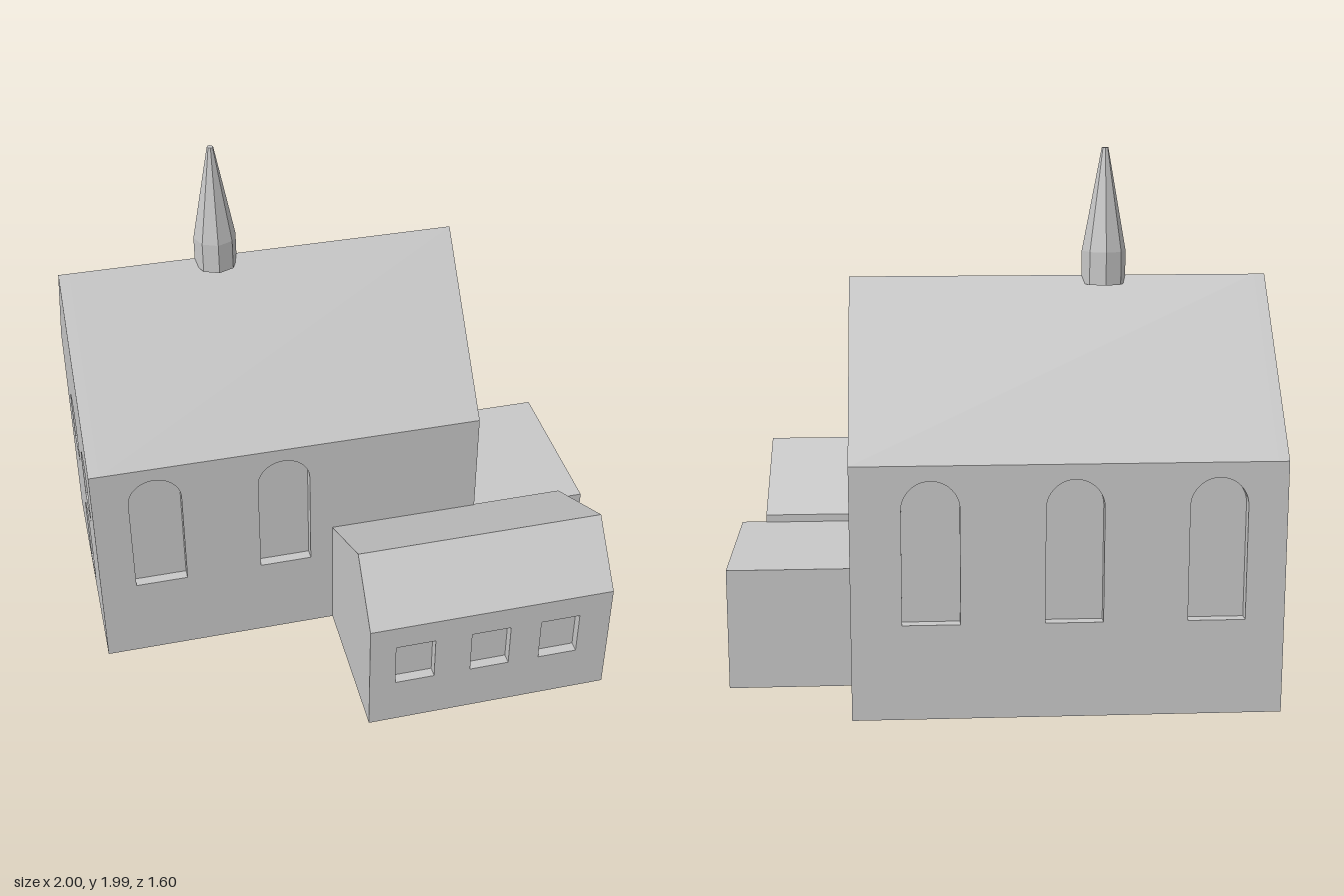
import * as THREE from 'three';

const stone = new THREE.MeshStandardMaterial({ color: 0xc8c8c8 });
stone.name = 'pale grey stone';

const RECESS = 0.04; // depth of window niches

function polygon(points) {
  return new THREE.Shape(points.map(([x, y]) => new THREE.Vector2(x, y)));
}

function rectHole(x0, x1, y0, y1) {
  const p = new THREE.Path();
  p.moveTo(x0, y0).lineTo(x1, y0).lineTo(x1, y1).lineTo(x0, y1).closePath();
  return p;
}

// Round-headed opening whose crown touches y1
function archHole(x0, x1, y0, y1) {
  const r = (x1 - x0) / 2;
  const p = new THREE.Path();
  p.moveTo(x0, y0).lineTo(x1, y0).lineTo(x1, y1 - r);
  p.absarc((x0 + x1) / 2, y1 - r, r, 0, Math.PI, false);
  p.closePath();
  return p;
}

function mesh(geometry, name) {
  const m = new THREE.Mesh(geometry, stone);
  m.name = name;
  return m;
}

function extrude(shape, depth) {
  return new THREE.ExtrudeGeometry(shape, { depth, bevelEnabled: false, curveSegments: 16 });
}

// Wall facing the front, from z0 to z0 + RECESS
function wallAlongX(name, x0, x1, height, z0, holes) {
  const shape = polygon([[x0, 0], [x1, 0], [x1, height], [x0, height]]);
  shape.holes.push(...holes);
  return mesh(extrude(shape, RECESS).translate(0, 0, z0), name);
}

// Cross-section given as [z, y], swept along x
function sweepAlongX(name, x0, x1, profile, holes = []) {
  const shape = polygon(profile.map(([z, y]) => [-z, y]));
  shape.holes.push(...holes);
  return mesh(extrude(shape, x1 - x0).rotateY(Math.PI / 2).translate(x0, 0, 0), name);
}

export function createModel() {
  const model = new THREE.Group();
  model.name = 'chapel';

  // Nave: core with roof, niched long walls and gable wall
  const nave = new THREE.Group();
  nave.name = 'nave';
  const x0 = -1, x1 = 0.535, back = -0.8, front = 0.192;
  const eave = 0.925, ridge = 1.52, mid = (back + front) / 2;
  nave.add(sweepAlongX('naveCoreAndRoof', x0 + RECESS, x1, [
    [front - RECESS, 0], [front - RECESS, eave], [front, eave], [mid, ridge],
    [back, eave], [back + RECESS, eave], [back + RECESS, 0],
  ]));
  const tall = (x) => archHole(x, x + 0.205, 0.35, 0.87);
  nave.add(wallAlongX('naveFrontWall', x0 + RECESS, x1, eave, front - RECESS,
    [-0.86, -0.355].map(tall)));
  nave.add(wallAlongX('naveBackWall', x0 + RECESS, x1, eave, back,
    [-0.86, -0.355, 0.15].map(tall)));
  const gableHole = (z, halfWidth, y0, y1) => archHole(-z - halfWidth, -z + halfWidth, y0, y1);
  nave.add(sweepAlongX('gableWall', x0, x0 + RECESS,
    [[front, 0], [front, eave], [mid, ridge], [back, eave], [back, 0]],
    [
      gableHole(mid - 0.195, 0.095, 0.535, 0.8),
      gableHole(mid + 0.195, 0.095, 0.535, 0.8),
      gableHole(mid, 0.09, 0.035, 0.38),
    ]));
  model.add(nave);

  // Front annexe with uneven gable and three square windows
  const annexe = new THREE.Group();
  annexe.name = 'frontAnnexe';
  annexe.add(sweepAlongX('annexeCoreAndRoof', -0.06, 0.903, [
    [0.8 - RECESS, 0], [0.8 - RECESS, 0.487], [0.8, 0.487], [0.606, 0.712],
    [0.182, 0.487], [0.182, 0],
  ]));
  annexe.add(wallAlongX('annexeFrontWall', -0.06, 0.903, 0.487, 0.8 - RECESS,
    [0.042, 0.342, 0.62].map((x) => rectHole(x, x + 0.155, 0.2, 0.387))));
  model.add(annexe);

  // Flat-roofed side block
  const block = mesh(new THREE.BoxGeometry(1 - x1, 0.457, 0.657), 'sideBlock');
  block.position.set((1 + x1) / 2, 0.457 / 2, front - 0.657 / 2);
  model.add(block);

  // Octagonal ridge turret and tapering spire
  const turret = new THREE.Group();
  turret.name = 'ridgeTurret';
  turret.position.set(-0.4, 0, mid);
  const base = mesh(new THREE.CylinderGeometry(0.081, 0.081, 0.12, 8).toNonIndexed(), 'turretBase');
  base.position.y = 1.55;
  const spire = mesh(new THREE.CylinderGeometry(0.012, 0.081, 0.375, 8).toNonIndexed(), 'spire');
  spire.position.y = 1.61 + 0.375 / 2;
  for (const part of [base, spire]) part.geometry.computeVertexNormals();
  turret.add(base, spire);
  model.add(turret);

  return model;
}
